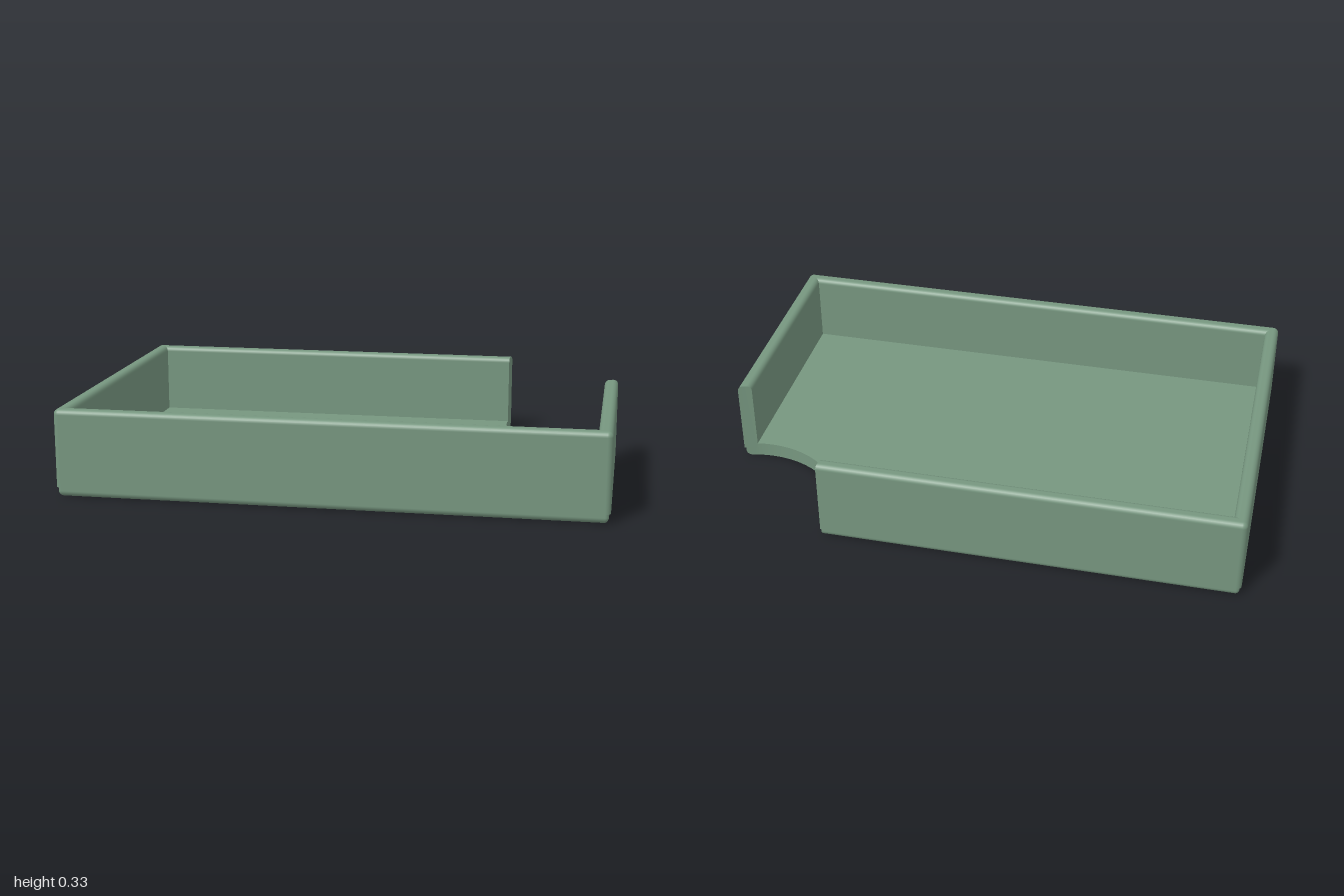
import * as THREE from 'three';

const W = 1, D = 0.655, H = 0.327; // half width, half depth, height
const T = 0.052, FLOOR = 0.055; // wall thickness, floor height
const CORNER = 0.02, R = 0.02; // vertical corner and rim radii
const CUT = { x: 0.89, z: -0.57, r: 0.35 }; // round cut-out in the back left corner

const build = (pos, nor, idx) => {
  const g = new THREE.BufferGeometry();
  g.setAttribute('position', new THREE.Float32BufferAttribute(pos, 3));
  g.setAttribute('normal', new THREE.Float32BufferAttribute(nor, 3));
  g.setIndex(idx);
  return g;
};

// Where the walls, inset by d, meet the cut-out
const sideEnd = (d) => ({ x: W - d, z: CUT.z + Math.sqrt(CUT.r ** 2 - (W - d - CUT.x) ** 2), mx: 1, mz: 0 });
const backEnd = (d) => ({ x: CUT.x - Math.sqrt(CUT.r ** 2 - (d - D - CUT.z) ** 2), z: d - D, mx: 0, mz: -1 });

// Plan outline at inset d, with outward directions
function outline(d, steps = 6) {
  const pts = [sideEnd(d)];
  [[1, 1], [-1, 1], [-1, -1]].forEach(([sx, sz], i) => {
    const c = Math.max(d, CORNER), r = Math.max(CORNER - d, 0);
    for (let k = 0; k <= steps; k++) {
      const a = (i + k / steps) * Math.PI / 2, mx = Math.cos(a), mz = Math.sin(a);
      pts.push({ x: sx * (W - c) + r * mx, z: sz * (D - c) + r * mz, mx, mz });
    }
  });
  pts.push(backEnd(d));
  return pts;
}

// Arc of the cut-out from the back wall to the side wall
function cutArc(d, steps = 48) {
  const e = backEnd(d), s = sideEnd(d);
  const a0 = Math.atan2(e.z - CUT.z, e.x - CUT.x) + 2 * Math.PI;
  const a1 = Math.atan2(s.z - CUT.z, s.x - CUT.x);
  return Array.from({ length: steps + 1 }, (_, i) => {
    const a = a0 + (a1 - a0) * i / steps;
    return { x: CUT.x + CUT.r * Math.cos(a), z: CUT.z + CUT.r * Math.sin(a), nx: -Math.cos(a), nz: -Math.sin(a) };
  });
}

// Wall section: rows of [inset, height, normal out, normal up]
const fillet = (cd, cy, r, from, to, n = 6) => Array.from({ length: n + 1 }, (_, i) => {
  const a = (from + (to - from) * i / n) * Math.PI / 180;
  return [cd - r * Math.cos(a), cy + r * Math.sin(a), Math.cos(a), Math.sin(a)];
});
const section = [
  ...fillet(0.028, 0.022, 0.022, -90, 0),
  [0.006, 0.036, 1, 0],
  [0.006, 0.036, 0, -1], [0, 0.036, 0, -1],
  [0, 0.036, 1, 0],
  ...fillet(R, H - R, R, 0, 90),
  ...fillet(T - R, H - R, R, 90, 180),
  [T, FLOOR, -1, 0],
];

function wallGeometry() {
  const pos = [], nor = [], idx = [];
  const n = outline(0).length;
  section.forEach(([d, y, out, up], j) => outline(d).forEach((p, i) => {
    pos.push(p.x, y, p.z);
    nor.push(p.mx * out, up, p.mz * out);
    if (j && i) {
      const b = j * n + i, a = b - n;
      idx.push(a - 1, b - 1, a, a, b - 1, b);
    }
  }));
  return build(pos, nor, idx);
}

// Cut face of the wall, bent onto the cut-out circle
function endGeometry(end) {
  const pts = section.filter(([d, y], i) => !i || Math.hypot(d - section[i - 1][0], y - section[i - 1][1]) > 1e-6)
    .map(([d, y]) => new THREE.Vector2(d, y));
  pts.push(new THREE.Vector2(T, 0));
  const g = new THREE.ShapeGeometry(new THREE.Shape(pts));
  const p = g.attributes.position;
  for (let i = 0; i < p.count; i++) {
    const e = end(p.getX(i));
    p.setXYZ(i, e.x, p.getY(i), e.z);
  }
  g.computeVertexNormals();
  return g;
}

// Horizontal plate facing up (1) or down (-1)
function plateGeometry(d, y, facing) {
  const pts = [...outline(d, d < CORNER ? 6 : 1), ...cutArc(d).slice(1, -1)];
  const unique = pts.filter((p, i) => !i || Math.hypot(p.x - pts[i - 1].x, p.z - pts[i - 1].z) > 1e-6);
  const shape = new THREE.Shape(unique.map((p) => new THREE.Vector2(p.x, -facing * p.z)));
  return new THREE.ShapeGeometry(shape).rotateX(-facing * Math.PI / 2).translate(0, y, 0);
}

// Edge of the floor inside the cut-out
function floorEdgeGeometry() {
  const pos = [], nor = [], idx = [];
  cutArc(T).forEach((p, i) => {
    pos.push(p.x, 0, p.z, p.x, FLOOR, p.z);
    nor.push(p.nx, 0, p.nz, p.nx, 0, p.nz);
    const a = 2 * i;
    if (i) idx.push(a - 2, a, a - 1, a - 1, a, a + 1);
  });
  // Turn the faces toward the centre of the circle if needed
  const v = (k) => new THREE.Vector3().fromArray(pos, idx[k] * 3);
  const face = v(1).sub(v(0)).cross(v(2).sub(v(0)));
  if (face.dot(new THREE.Vector3().fromArray(nor, 0)) < 0) idx.reverse();
  return build(pos, nor, idx);
}

export function createModel() {
  const green = new THREE.MeshStandardMaterial({ color: 0x76967f, side: THREE.DoubleSide });
  green.name = 'sage green';
  const tray = new THREE.Group();
  tray.name = 'tray';
  const add = (name, geometry) => {
    const mesh = new THREE.Mesh(geometry, green);
    mesh.name = name;
    tray.add(mesh);
  };
  add('walls', wallGeometry());
  add('sideWallEnd', endGeometry(sideEnd));
  add('backWallEnd', endGeometry(backEnd));
  add('floor', plateGeometry(T, FLOOR, 1));
  add('underside', plateGeometry(0.028, 0, -1));
  add('floorCutEdge', floorEdgeGeometry());
  return tray;
}
